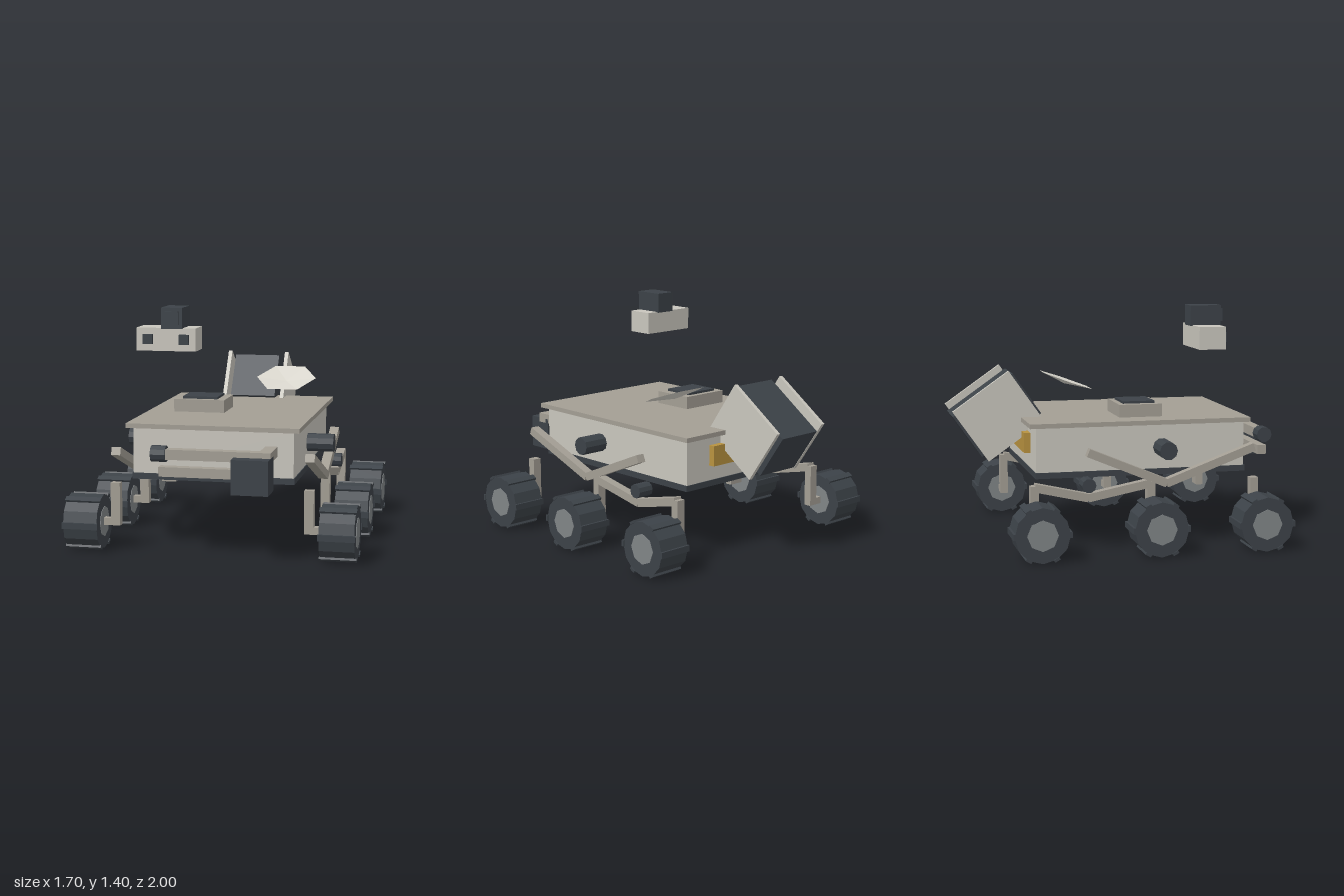
import * as THREE from 'three';

const mat = (name, color) => {
  const m = new THREE.MeshStandardMaterial({ color });
  m.name = name;
  return m;
};

export function createModel() {
  const light = mat('warm white', 0xc9c6bd);
  const deck = mat('warm grey', 0xa39e94);
  const dark = mat('charcoal', 0x3c4248);
  const hubGrey = mat('hub grey', 0x808486);
  const gold = mat('gold', 0xb8923f);
  const dishWhite = mat('dish white', 0xd9d6cd);
  dishWhite.side = THREE.DoubleSide;

  const root = new THREE.Group();
  root.name = 'rover';

  const add = (parent, name, geo, material, x = 0, y = 0, z = 0) => {
    const mesh = new THREE.Mesh(geo, material);
    mesh.name = name;
    mesh.position.set(x, y, z);
    parent.add(mesh);
    return mesh;
  };
  // Box given by its extents on each axis
  const box = (parent, name, material, [x0, x1], [y0, y1], [z0, z1]) =>
    add(parent, name, new THREE.BoxGeometry(x1 - x0, y1 - y0, z1 - z0), material,
      (x0 + x1) / 2, (y0 + y1) / 2, (z0 + z1) / 2);
  const faceted = (geo) => {
    const g = geo.toNonIndexed();
    g.computeVertexNormals();
    return g;
  };
  // Faceted cylinder lying along x
  const drum = (r, length, sides) =>
    faceted(new THREE.CylinderGeometry(r, r, length, sides).rotateZ(Math.PI / 2));
  // Square bar between two points in the side plane
  const beam = (parent, name, x, [z0, y0], [z1, y1]) => {
    const dz = z1 - z0, dy = y1 - y0;
    const m = add(parent, name, new THREE.BoxGeometry(0.055, 0.048, Math.hypot(dz, dy)),
      deck, x, (y0 + y1) / 2, (z0 + z1) / 2);
    m.rotation.x = -Math.atan2(dy, dz);
  };

  // Chassis
  box(root, 'body', light, [-0.47, 0.47], [0.45, 0.72], [-0.555, 0.705]);
  box(root, 'bellyPan', dark, [-0.475, 0.475], [0.42, 0.455], [-0.56, 0.712]);
  box(root, 'topDeck', deck, [-0.507, 0.507], [0.72, 0.747], [-0.595, 0.737]);
  box(root, 'rearPanel', gold, [-0.29, 0.29], [0.545, 0.665], [-0.593, -0.55]);

  // Deck instrument
  box(root, 'instrumentBox', deck, [-0.346, -0.036], [0.745, 0.823], [-0.028, 0.233]);
  box(root, 'instrumentPanel', dark, [-0.3, -0.085], [0.82, 0.837], [0.005, 0.198]);

  // Camera head
  const head = new THREE.Group();
  head.name = 'cameraHead';
  root.add(head);
  box(head, 'headBox', light, [-0.478, -0.126], [1.153, 1.287], [0.425, 0.587]);
  box(head, 'upperCamera', dark, [-0.328, -0.202], [1.283, 1.405], [0.413, 0.6]);
  box(head, 'upperLens', dark, [-0.305, -0.223], [1.307, 1.385], [0.595, 0.618]);
  for (const x of [-0.409, -0.194])
    box(head, 'headLens', dark, [x - 0.029, x + 0.029], [1.193, 1.25], [0.58, 0.606]);

  // Tilted power unit with side plates
  const power = new THREE.Group();
  power.name = 'powerUnit';
  power.position.set(0, 0.756, -0.729);
  power.rotation.x = -0.611;
  root.add(power);
  add(power, 'powerCore', new THREE.BoxGeometry(0.288, 0.3, 0.44), dark);
  for (const s of [-1, 1])
    add(power, 'sidePlate', new THREE.BoxGeometry(0.024, 0.37, 0.41), light, s * 0.188);

  // Dish antenna: shallow hexagonal bowl
  const bowl = new THREE.ConeGeometry(0.187, 0.025, 6, 1, true)
    .rotateY(Math.PI / 6).rotateX(Math.PI);
  const dish = add(root, 'dishAntenna', faceted(bowl), dishWhite, 0.262, 0.9, -0.236);
  dish.rotation.x = 0.34;

  // Front arm
  const arm = new THREE.Group();
  arm.name = 'arm';
  root.add(arm);
  box(arm, 'shoulderBar', deck, [0.307, 0.377], [0.578, 0.636], [0.7, 0.925]);
  box(arm, 'upperArm', deck, [-0.23, 0.377], [0.578, 0.636], [0.862, 0.924]);
  box(arm, 'lowerArm', deck, [-0.265, 0.18], [0.48, 0.535], [0.865, 0.922]);
  add(arm, 'elbowJoint', drum(0.047, 0.086, 10), dark, -0.267, 0.607, 0.893);
  box(arm, 'toolHead', dark, [0.167, 0.377], [0.407, 0.605], [0.838, 0.999]);

  // Suspension and wheels, mirrored
  for (const s of [-1, 1]) {
    const side = new THREE.Group();
    side.name = s > 0 ? 'leftSuspension' : 'rightSuspension';
    root.add(side);
    const x = s * 0.567;
    beam(side, 'rockerFront', x, [0.735, 0.582], [0.2, 0.385]);
    beam(side, 'rockerRear', x, [0.2, 0.385], [-0.27, 0.582]);
    beam(side, 'bogieFront', x, [0.105, 0.39], [-0.27, 0.318]);
    beam(side, 'bogieRear', x, [-0.27, 0.318], [-0.585, 0.39]);
    add(side, 'rockerPivot', drum(0.054, 0.16, 10), dark, s * 0.55, 0.582, 0.2);
    add(side, 'bogiePivot', drum(0.042, 0.1, 10), dark, s * 0.563, 0.393, -0.27);

    for (const z of [0.735, 0.105, -0.585]) {
      add(side, 'strut', new THREE.BoxGeometry(0.055, 0.25, 0.048), deck, x, 0.274, z);
      add(side, 'axle', new THREE.BoxGeometry(0.12, 0.042, 0.042), deck, s * 0.6, 0.168, z);

      const wheel = new THREE.Group();
      wheel.name = 'wheel';
      wheel.position.set(s * 0.742, 0.165, z);
      side.add(wheel);
      add(wheel, 'tyre', drum(0.16, 0.2, 12), dark);
      add(wheel, 'hub', drum(0.09, 0.206, 8), hubGrey);
      for (let i = 0; i < 6; i++) {
        const a = (i * Math.PI) / 3;
        const cleat = add(wheel, 'cleat', new THREE.BoxGeometry(0.212, 0.036, 0.016), dark,
          0, Math.sin(a) * 0.16, Math.cos(a) * 0.16);
        cleat.rotation.x = -a;
      }
    }
  }
  return root;
}
